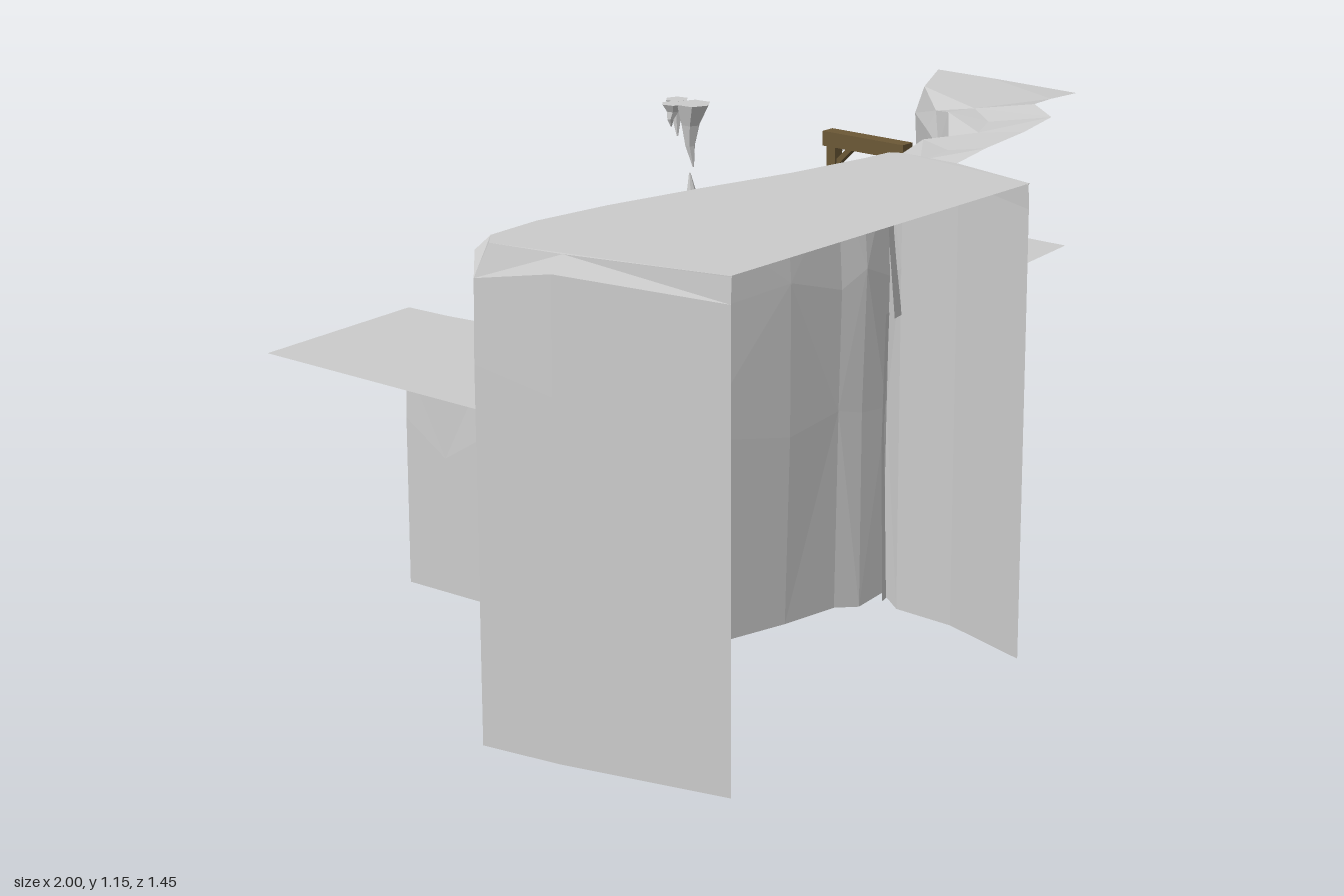
import * as THREE from 'three';

const stone = new THREE.MeshStandardMaterial({ color: 0xcccccc, flatShading: true, side: THREE.DoubleSide });
const timber = new THREE.MeshStandardMaterial({ color: 0x6b5836, flatShading: true });

// Skin a surface through rows of [x, y, z] points
function loft(name, rows) {
  const n = rows[0].length, index = [];
  for (let r = 0; r < rows.length - 1; r++) {
    for (let i = 0; i < n - 1; i++) {
      const a = r * n + i, b = a + n;
      if ((r + i) % 2) index.push(a, a + 1, b + 1, a, b + 1, b);
      else index.push(a, a + 1, b, a + 1, b + 1, b);
    }
  }
  const geo = new THREE.BufferGeometry();
  geo.setAttribute('position', new THREE.Float32BufferAttribute(rows.flat(2), 3));
  geo.setIndex(index);
  const flat = geo.toNonIndexed();
  flat.computeVertexNormals();
  const mesh = new THREE.Mesh(flat, stone);
  mesh.name = name;
  return mesh;
}

// Small repeatable unevenness
const bump = (i, k, size) => Math.sin(i * 2.7 + k * 4.1) * size;

// Rock lump: icosahedron with uneven vertices
function rock(x, y, z, sx, sy, sz, seed) {
  const geo = new THREE.IcosahedronGeometry(1, 1);
  const p = geo.attributes.position;
  for (let i = 0; i < p.count; i++) {
    const v = new THREE.Vector3().fromBufferAttribute(p, i);
    v.multiplyScalar(1 + 0.12 * Math.sin(v.x * 3 + v.y * 4 + v.z * 3 + seed));
    p.setXYZ(i, v.x, v.y, v.z);
  }
  geo.computeVertexNormals();
  const mesh = new THREE.Mesh(geo, stone);
  mesh.position.set(x, y, z);
  mesh.scale.set(sx, sy, sz);
  mesh.rotation.y = seed;
  return mesh;
}

function mainBlock() {
  const g = new THREE.Group();
  g.name = 'mainCliffBlock';
  const plan = [[-0.87, 0.72], [-0.97, 0.33], [-1, 0.14], [-0.95, 0.095], [-0.8, 0.085], [-0.6, 0.11],
    [-0.35, 0.165], [-0.1, 0.23], [0.05, 0.255], [0.11, 0.283], [0.19, 0.29], [0.205, 0.32], [0.2, 0.48], [0.13, 0.72]];
  const last = plan.length - 1;
  const level = (y, inset, k) => plan.map(([x, z], i) => {
    const end = i === 0 || i === last;
    const back = i > 2 && i < last - 2;
    const nearCliff = i > 8 ? 0.4 : 1;
    const foot = back ? 0.03 + bump(i, 0, 0.008) : 0;
    const lift = end || y > 1.08 ? 0 : bump(i, k, 0.022);
    const dent = back && (k === 1 || k === 2) ? Math.abs(bump(i, k, 0.015)) : 0;
    return [
      x + (-0.4 - x) * inset * (end ? 0.1 : 0.5 * nearCliff),
      y === 0 ? foot : y + lift,
      end ? z : z + (0.6 - z) * inset * nearCliff + dent,
    ];
  });
  const top = level(1.095, 0.075, 4);
  g.add(loft('blockWalls', [level(0, 0.01, 0), level(0.5, 0.01, 1), level(0.82, 0.01, 2), level(1.04, 0.015, 3), top]));
  // Top spans from the rear rim to the open front
  const front = top.map(([x], i) => [i > 0 && i < last ? Math.max(-0.87, Math.min(0.13, x)) : x, 1.098, 0.72]);
  g.add(loft('blockTop', [top, front]));
  return g;
}

function upperCliff() {
  const g = new THREE.Group();
  g.name = 'upperCliff';
  const plan = [[0.17, 0.3], [0.3, 0.275], [0.43, 0.25], [0.55, 0.16], [0.65, 0.05], [0.77, -0.075], [0.94, -0.15]];
  const level = (y, shift, k) => plan.map(([x, z], i) => [x, y + bump(i, k, 0.015), z + shift]);
  const rim = level(1.095, 0.03, 3);
  rim[6] = [0.94, 1.108, -0.13];
  const base = plan.map(([x, z], i) => [x, 0.715, z + (i < 6 ? 0.03 : 0.008)]);
  g.add(loft('cliffFace', [base, level(0.9, 0.012, 1), level(1.03, 0.003, 2), rim]));
  // Top stays level behind, then kicks up to the overhanging lip
  const lip = [[0.2, 1.09, 0.47], [0.3, 1.11, 0.48], [0.42, 1.13, 0.5], [0.51, 1.15, 0.51],
    [0.6, 1.15, 0.4], [0.82, 1.112, 0.295], [0.94, 1.105, 0.285]];
  const middle = rim.map(([x, , z], i) => [
    x + (lip[i][0] - x) * 0.4, i < 2 ? 1.09 : 1.108, z + (lip[i][2] - z) * 0.4]);
  g.add(loft('cliffTop', [rim, middle, lip]));
  // Lower wall beneath the shelf, next to the block
  const foot = [[0.17, 0.305], [0.28, 0.275], [0.4, 0.25], [0.515, 0.21]];
  g.add(loft('cliffFoot', [0.025, 0.4, 0.72].map((y, k) =>
    foot.map(([x, z], i) => [x, y, z + (k === 1 ? bump(i, k, 0.01) : 0)]))));
  return g;
}

// Flat terrace with a side wall; rim points are [x at top, z, x at foot]
function terrace(name, y, rim, outer) {
  const g = new THREE.Group();
  g.name = name;
  g.add(loft(name + 'Floor', [rim.map(([x, z]) => [x, y, z]), outer.map(([x, z]) => [x, y, z])]));
  const levels = [[y, 0], [0.6, 0.65], [0.4, 0.92], [0.03, 1]];
  g.add(loft(name + 'Wall', levels.map(([h, t], k) => rim.map(([x, z, footX], i) =>
    [x + (footX - x) * t, h + (k === 1 || k === 2 ? bump(i, k, 0.04) : 0), z]))));
  return g;
}

function box(name, w, h, d, y, z, tilt = 0) {
  const mesh = new THREE.Mesh(new THREE.BoxGeometry(w, h, d), timber);
  mesh.name = name;
  mesh.position.set(0.845, y, z);
  mesh.rotation.x = tilt;
  return mesh;
}

function timberFrame() {
  const g = new THREE.Group();
  g.name = 'timberFrame';
  g.add(box('beam', 0.04, 0.038, 0.255, 0.913, -0.277));
  for (const s of [-1, 1]) {
    g.add(box('post', 0.03, 0.205, 0.027, 0.795, -0.272 + s * 0.11));
    g.add(box('brace', 0.018, 0.075, 0.014, 0.872, -0.272 + s * 0.077, -s * 0.8));
  }
  return g;
}

// Cone-like spike; negative height points down
function spike(x, y, z, r, h, seed) {
  const geo = new THREE.CylinderGeometry(0.002, r, Math.abs(h), 6, 3);
  const p = geo.attributes.position;
  for (let i = 0; i < p.count; i++) {
    const t = p.getY(i) / Math.abs(h) + 0.5;
    const s = t > 0.3 && t < 0.9 ? 0.8 : 1;
    const lean = Math.sin(t * 5 + seed) * 0.004;
    p.setXYZ(i, p.getX(i) * s + lean, p.getY(i), p.getZ(i) * s + lean);
  }
  geo.computeVertexNormals();
  const mesh = new THREE.Mesh(geo, stone);
  mesh.position.set(x, y + h / 2, z);
  if (h < 0) mesh.rotation.x = Math.PI;
  mesh.rotation.y = seed;
  return mesh;
}

function spikes() {
  const g = new THREE.Group();
  g.name = 'stalactitesAndStalagmites';
  const spots = [[0.51, -0.57, 0.045, 0.155], [0.525, -0.632, 0.03, 0.09], [0.475, -0.605, 0.03, 0.055]];
  spots.forEach(([x, z, r, h], i) => {
    g.add(spike(x, 0.7, z, r, h, i), spike(x, 1.032, z, r, -h * 1.04, i + 2));
  });
  return g;
}

export function createModel() {
  const model = new THREE.Group();
  model.name = 'cliffTerrain';
  model.add(mainBlock(), upperCliff());

  // Right terrace
  const shelfRim = [[0.39, -0.73, 0.445], [0.405, -0.52, 0.445], [0.4, -0.39, 0.43], [0.335, -0.29, 0.385],
    [0.325, -0.18, 0.365], [0.36, -0.03, 0.385], [0.34, 0.08, 0.37], [0.29, 0.18, 0.33], [0.265, 0.32, 0.305]];
  const shelfOuter = shelfRim.map(([, z]) => [1, Math.min(z, 0.225)]);
  model.add(terrace('shelf', 0.703, shelfRim, shelfOuter));

  // Left terrace
  const ledgeRim = [[-0.435, -0.62, -0.455], [-0.43, -0.5, -0.45], [-0.415, -0.38, -0.445], [-0.38, -0.22, -0.43],
    [-0.367, -0.06, -0.42], [-0.358, 0.1, -0.42], [-0.345, 0.25, -0.418]];
  const ledgeOuter = ledgeRim.map(([, z], i) => [-0.9, i ? Math.min(z, 0.17) : -0.59]);
  model.add(terrace('ledge', 0.7, ledgeRim, ledgeOuter));

  model.add(timberFrame(), spikes());

  // Rubble at the foot of the upper cliff
  const rubble = new THREE.Group();
  rubble.name = 'rubble';
  [[0.44, 0.165, 0.038], [0.49, 0.155, 0.046], [0.535, 0.14, 0.04], [0.58, 0.12, 0.034], [0.52, 0.19, 0.032]].forEach(
    ([x, z, r], i) => rubble.add(rock(x, 0.71, z, r * 0.8, r * 0.85, r * 1.2, i * 0.3)));
  model.add(rubble);
  return model;
}
